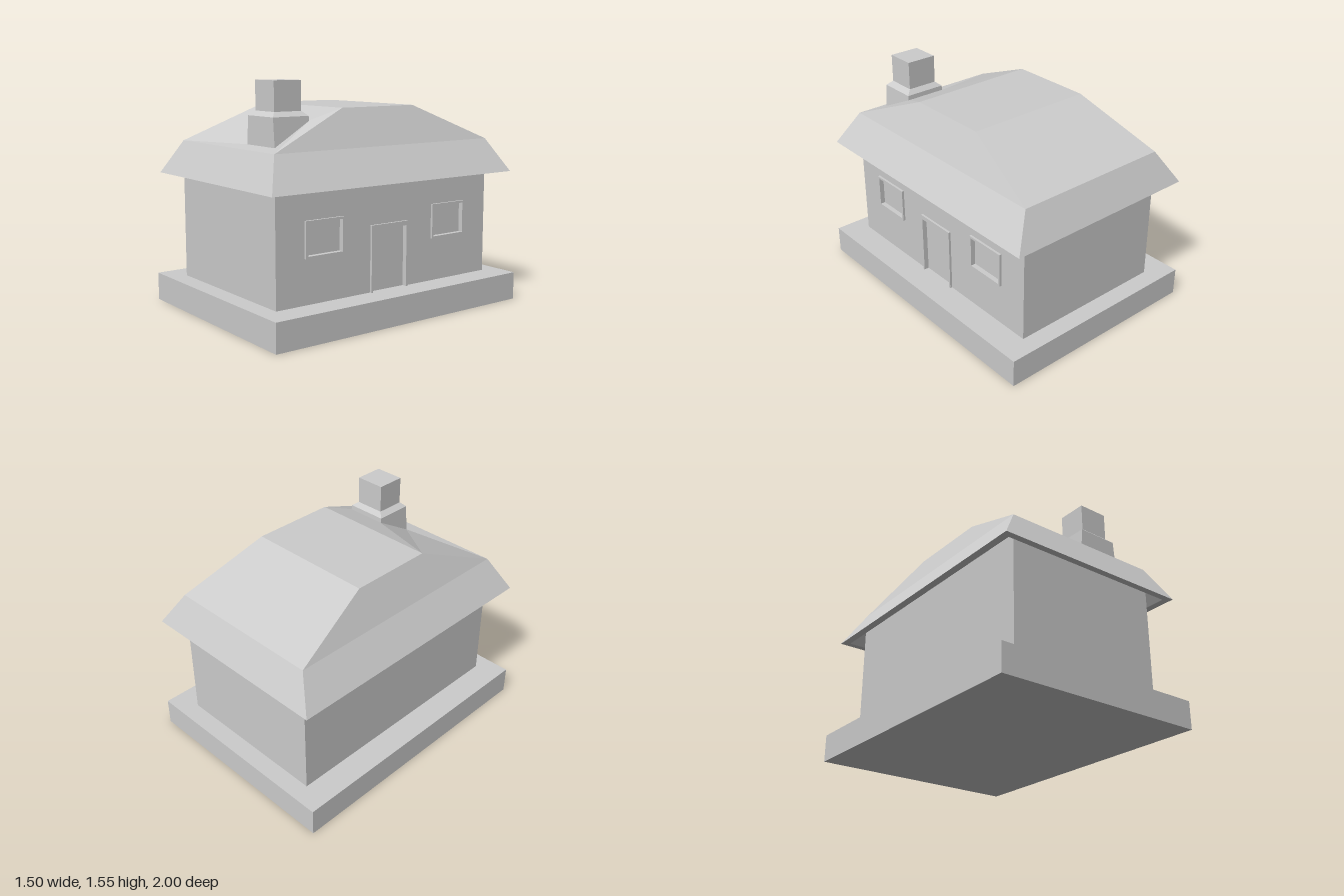
import * as THREE from 'three';

// Four corners of a level rectangle: front left, front right, back right, back left
const ring = (y, x0, x1, z0, z1) => [[x0, y, z1], [x1, y, z1], [x1, y, z0], [x0, y, z0]];
const centred = (y, x, z) => ring(y, -x, x, -z, z);

// Quads joining two rings of four corners
const band = (a, b) => a.map((p, i) => [p, a[(i + 1) % 4], b[(i + 1) % 4], b[i]]);

// Flat-shaded geometry from a list of quads
function quadGeometry(quads) {
  const pos = quads.flatMap(([a, b, c, d]) => [a, b, c, a, c, d]).flat();
  const geo = new THREE.BufferGeometry();
  geo.setAttribute('position', new THREE.Float32BufferAttribute(pos, 3));
  geo.computeVertexNormals();
  return geo;
}

const rectPoints = (z0, z1, y0, y1) =>
  [[-z1, y0], [-z0, y0], [-z0, y1], [-z1, y1]].map(([x, y]) => new THREE.Vector2(x, y));

// Upright panel on the +x side, with rectangular openings
function sidePanel(outer, holes, x0, x1) {
  const shape = new THREE.Shape(rectPoints(...outer));
  for (const h of holes) shape.holes.push(new THREE.Path(rectPoints(...h).reverse()));
  const geo = new THREE.ExtrudeGeometry(shape, { depth: x1 - x0, bevelEnabled: false });
  return geo.rotateY(Math.PI / 2).translate(x0, 0, 0);
}

export function createModel() {
  const house = new THREE.Group();
  house.name = 'house';
  const stone = new THREE.MeshStandardMaterial({ color: 0xcccccc });
  stone.name = 'light grey';

  const add = (name, geo) => {
    const mesh = new THREE.Mesh(geo, stone);
    mesh.name = name;
    house.add(mesh);
  };
  const box = (name, x0, x1, y0, y1, z) =>
    add(name, new THREE.BoxGeometry(x1 - x0, y1 - y0, 2 * z)
      .translate((x0 + x1) / 2, (y0 + y1) / 2, 0));

  // Plinth and body
  box('plinth', -0.75, 0.75, 0, 0.19, 1);
  box('walls', -0.563, 0.545, 0.15, 1.06, 0.875);

  // Door and window openings: [outer frame, inner opening] as z0, z1, y0, y1
  const openings = [
    ['leftWindowFrame', [-0.665, -0.37, 0.48, 0.715], [-0.65, -0.385, 0.495, 0.7]],
    ['rightWindowFrame', [0.37, 0.665, 0.48, 0.715], [0.385, 0.65, 0.495, 0.7]],
    ['doorFrame', [-0.153, 0.153, 0.16, 0.63], [-0.14, 0.14, 0.17, 0.6]],
  ];
  add('doorWall', sidePanel([-0.875, 0.875, 0.15, 1.06], openings.map(o => o[2]), 0.545, 0.563));
  for (const [name, outer, inner] of openings) add(name, sidePanel(outer, [inner], 0.55, 0.579));

  // Roof: sloping soffit, eave lip, steep skirt, shallow slopes, flat top
  const soffit = centred(1.05, 0.56, 0.873);
  const lip = centred(0.905, 0.65, 0.94);
  const eave = centred(0.905, 0.702, 0.985);
  const knee = centred(1.13, 0.56, 0.875);
  const top = centred(1.375, 0.45, 0.293);
  const slopes = band(knee, top);
  // The front slope is folded slightly around the chimney foot
  const slot = [[0.095, 1.147, 0.768], [0.403, 1.147, 0.768], [0.388, 1.302, 0.5], [0.108, 1.302, 0.5]];
  add('roof', quadGeometry([
    ...band(soffit, lip), ...band(lip, eave), ...band(eave, knee),
    ...slopes.slice(1), ...band(slopes[0], slot), top,
  ]));

  // Chimney: tapered foot, bevelled shoulder, square stack
  const rings = [
    ring(1.145, 0.093, 0.405, 0.5, 0.77),
    ring(1.33, 0.107, 0.39, 0.508, 0.77),
    ring(1.36, 0.143, 0.353, 0.538, 0.738),
    ring(1.55, 0.143, 0.353, 0.538, 0.738),
  ];
  add('chimney', quadGeometry([
    ...rings.slice(1).flatMap((r, i) => band(rings[i], r)), rings[3],
  ]));

  return house;
}
